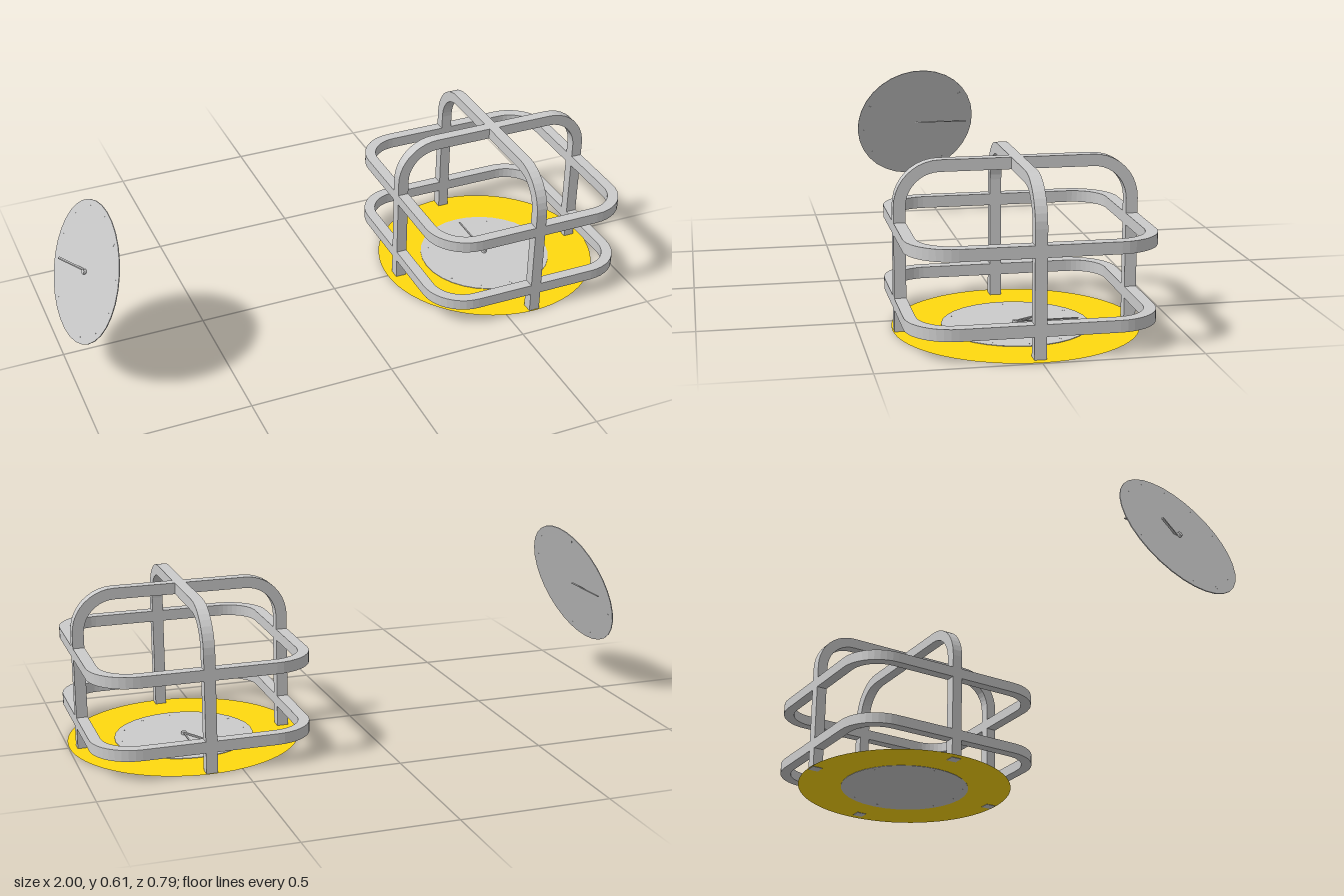
import * as THREE from 'three';

const BAR = 0.038;            // square bar thickness
const HX = 0.368, HZ = 0.389; // cage half widths
const TOP = 0.545, CORNER = 0.145;
const DIAL_R = 0.2365;

const grey = new THREE.MeshStandardMaterial({ color: 0xcccccc, side: THREE.DoubleSide });
const yellow = new THREE.MeshStandardMaterial({ color: 0xffd90f, side: THREE.DoubleSide });

function add(parent, name, geometry, material = grey) {
  const mesh = new THREE.Mesh(geometry, material);
  mesh.name = name;
  parent.add(mesh);
  return mesh;
}

// Rounded rectangle outline, centred on the origin
function roundedRect(path, hx, hy, r) {
  path.moveTo(hx, -hy + r);
  path.lineTo(hx, hy - r);
  path.absarc(hx - r, hy - r, r, 0, Math.PI / 2);
  path.lineTo(-hx + r, hy);
  path.absarc(-hx + r, hy - r, r, Math.PI / 2, Math.PI);
  path.lineTo(-hx, -hy + r);
  path.absarc(-hx + r, -hy + r, r, Math.PI, Math.PI * 1.5);
  path.lineTo(hx - r, -hy);
  path.absarc(hx - r, -hy + r, r, Math.PI * 1.5, Math.PI * 2);
  return path;
}

function extrudeBar(shape) {
  const g = new THREE.ExtrudeGeometry(shape, { depth: BAR, bevelEnabled: false, curveSegments: 5 });
  return g.translate(0, 0, -BAR / 2);
}

// Upright hoop with rounded shoulders, standing on the ground
function archGeometry(half) {
  const s = new THREE.Shape();
  const r = CORNER, ri = CORNER - BAR, i = half - BAR;
  s.moveTo(half, 0);
  s.lineTo(half, TOP - r);
  s.absarc(half - r, TOP - r, r, 0, Math.PI / 2);
  s.lineTo(-half + r, TOP);
  s.absarc(-half + r, TOP - r, r, Math.PI / 2, Math.PI);
  s.lineTo(-half, 0);
  s.lineTo(-i, 0);
  s.lineTo(-i, TOP - r);
  s.absarc(-half + r, TOP - r, ri, Math.PI, Math.PI / 2, true);
  s.lineTo(half - r, TOP - BAR);
  s.absarc(half - r, TOP - r, ri, Math.PI / 2, 0, true);
  s.lineTo(i, 0);
  return extrudeBar(s);
}

// Horizontal hoop around the cage
function hoopGeometry() {
  const s = roundedRect(new THREE.Shape(), HX, HZ, CORNER);
  s.holes.push(roundedRect(new THREE.Path(), HX - BAR, HZ - BAR, CORNER - BAR));
  return extrudeBar(s).rotateX(-Math.PI / 2);
}

// Thin round plate with plain hour marks and a hub
function makeDial(name) {
  const g = new THREE.Group();
  g.name = name;
  add(g, 'dialPlate', new THREE.CylinderGeometry(DIAL_R, DIAL_R, 0.003, 32));
  for (let i = 0; i < 12; i++) {
    const a = (i / 12) * Math.PI * 2;
    const mark = add(g, 'hourMark', new THREE.BoxGeometry(0.004, 0.0036, 0.01));
    mark.position.set(Math.sin(a) * 0.212, 0, Math.cos(a) * 0.212);
    mark.rotation.y = a;
  }
  add(g, 'hub', new THREE.CylinderGeometry(0.009, 0.009, 0.012, 12)).position.y = 0.005;
  return g;
}

// A long and a short pointer lying level, the long one toward the back
function makeHands() {
  const g = new THREE.Group();
  g.name = 'hands';
  const hand = (name, length, width, thick, angle) => {
    const geo = new THREE.BoxGeometry(width, thick, length).translate(0, 0, -length / 2);
    add(g, name, geo).rotation.y = angle;
  };
  hand('longHand', 0.206, 0.005, 0.003, 0);
  hand('shortHand', 0.127, 0.007, 0.005, Math.PI / 6);
  return g;
}

export function createModel() {
  const model = new THREE.Group();
  model.name = 'cagedDial';

  // Cage standing on the yellow base
  const cage = new THREE.Group();
  cage.name = 'cage';
  cage.position.x = 0.604;
  model.add(cage);
  add(cage, 'sideToSideArch', archGeometry(HX));
  add(cage, 'frontToBackArch', archGeometry(HZ).rotateY(Math.PI / 2));
  for (const y of [0.091, 0.332]) add(cage, 'hoop', hoopGeometry()).position.y = y;

  const rim = new THREE.RingGeometry(DIAL_R - 0.002, 0.394, 64).rotateX(-Math.PI / 2);
  add(cage, 'baseRim', rim, yellow).position.y = 0.0015;
  const floorDial = makeDial('floorDial');
  floorDial.position.y = 0.0018;
  cage.add(floorDial);
  const floorHands = makeHands();
  floorHands.position.y = 0.009;
  cage.add(floorHands);

  // Free tilted dial off to the side, its hands staying level
  const tilted = makeDial('tiltedDial');
  const normal = new THREE.Vector3(-0.93, 0.35, 0.11).normalize();
  tilted.quaternion.setFromUnitVectors(new THREE.Vector3(0, 1, 0), normal);
  tilted.position.set(-0.915, 0.386, 0.097);
  model.add(tilted);
  const tiltedHands = makeHands();
  tiltedHands.position.set(-0.912, 0.386, 0.096);
  model.add(tiltedHands);

  return model;
}
